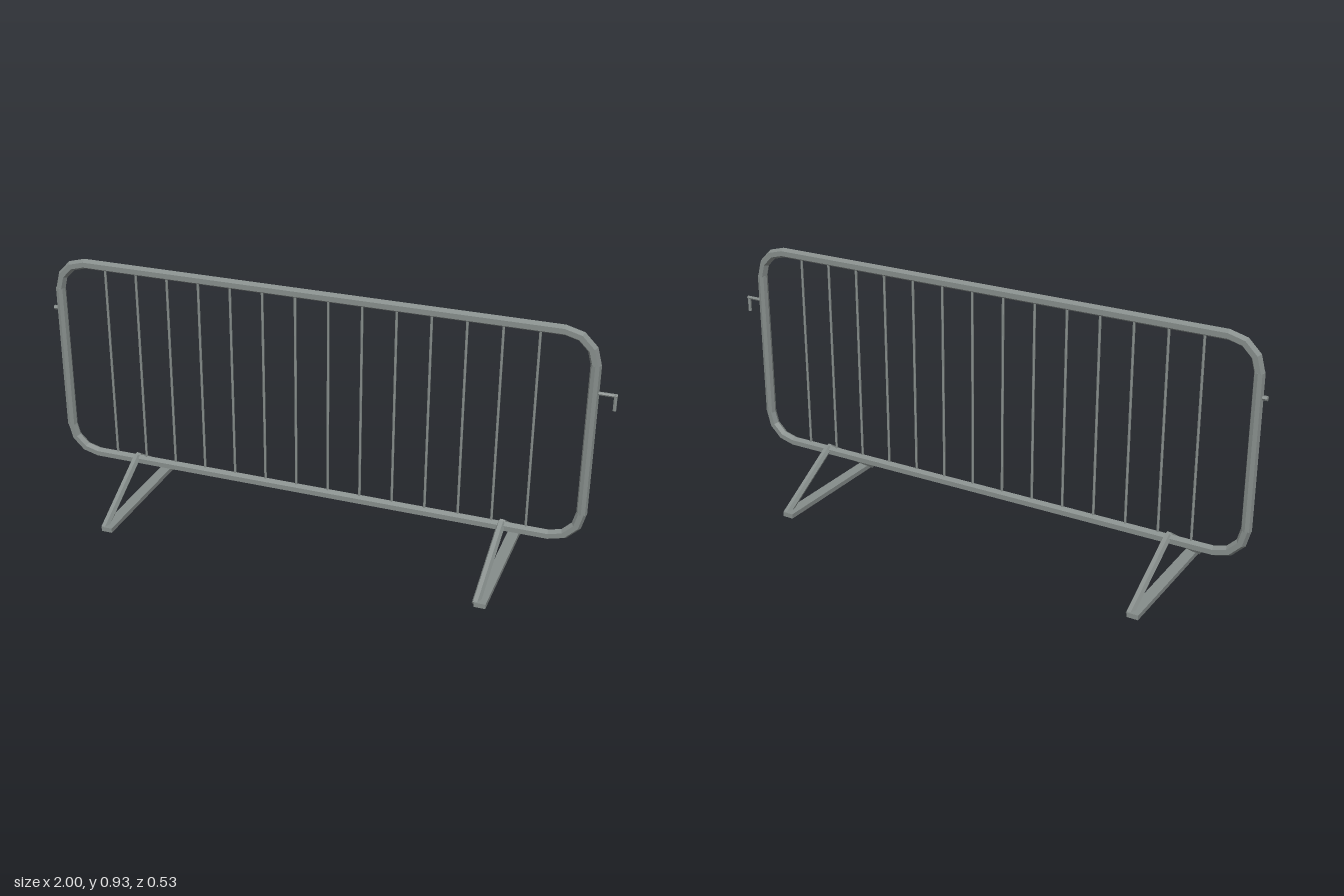
import * as THREE from 'three';

const steel = new THREE.MeshStandardMaterial({ color: 0x858c8a, flatShading: true });
steel.name = 'galvanisedSteel';

// Frame centre lines and tube size
const LEFT = -0.968, RIGHT = 0.924, BOTTOM = 0.173, TOP = 0.912;
const CORNER = 0.104, TUBE = 0.018;

function add(parent, geometry, name) {
  const mesh = new THREE.Mesh(geometry, steel);
  mesh.name = name;
  parent.add(mesh);
  return mesh;
}

// Straight faceted rod between two points
function rod(parent, a, b, radius, sides, name, twist = 0) {
  const from = new THREE.Vector3(...a), to = new THREE.Vector3(...b);
  const dir = to.clone().sub(from);
  const geometry = new THREE.CylinderGeometry(radius, radius, dir.length(), sides);
  geometry.rotateY(twist);
  const mesh = add(parent, geometry, name);
  mesh.position.copy(from).add(to).multiplyScalar(0.5);
  mesh.quaternion.setFromUnitVectors(new THREE.Vector3(0, 1, 0), dir.normalize());
  return mesh;
}

// Horizontal rail with both bent corners: hexagonal rings along a half loop
function bentRail(startAngle) {
  const sides = 6, steps = 3, positions = [], index = [];
  let rings = 0;
  for (let corner = 0; corner < 2; corner++) {
    for (let s = 0; s <= steps; s++) {
      const angle = startAngle + (corner + s / steps) * Math.PI / 2;
      const mid = startAngle + (corner + 0.5) * Math.PI / 2;
      const cx = Math.cos(mid) > 0 ? RIGHT - CORNER : LEFT + CORNER;
      const cy = Math.sin(mid) > 0 ? TOP - CORNER : BOTTOM + CORNER;
      for (let j = 0; j < sides; j++) {
        const a = j / sides * Math.PI * 2;
        const r = CORNER + TUBE * Math.cos(a);
        positions.push(cx + r * Math.cos(angle), cy + r * Math.sin(angle), TUBE * Math.sin(a));
      }
      rings++;
    }
  }
  for (let i = 0; i < rings - 1; i++) {
    for (let j = 0; j < sides; j++) {
      const k = (j + 1) % sides;
      const a = i * sides + j, b = i * sides + k, c = b + sides, d = a + sides;
      index.push(a, d, c, a, c, b);
    }
  }
  const geometry = new THREE.BufferGeometry();
  geometry.setAttribute('position', new THREE.Float32BufferAttribute(positions, 3));
  geometry.setIndex(index);
  geometry.computeVertexNormals();
  return geometry;
}

// Triangular foot: flat base bar and two slightly skewed braces
function foot(x) {
  const group = new THREE.Group();
  group.name = 'foot';
  add(group, new THREE.BoxGeometry(0.04, 0.017, 0.526), 'footBase').position.set(0, 0.0165, 0);
  for (const side of [1, -1]) {
    rod(group, [0, 0.184, 0], [-0.015 * side, 0.0135, 0.251 * side], 0.0145, 6, 'footBrace', Math.PI / 6);
  }
  group.position.x = x;
  return group;
}

export function createModel() {
  const model = new THREE.Group();
  model.name = 'crowdBarrier';

  // Outer frame
  const frame = new THREE.Group();
  frame.name = 'frame';
  add(frame, bentRail(0), 'topRail');
  add(frame, bentRail(Math.PI), 'bottomRail');
  for (const x of [LEFT, RIGHT]) {
    rod(frame, [x, BOTTOM + CORNER - 0.003, 0], [x, TOP - CORNER + 0.003, 0], TUBE, 8, 'sidePost');
  }
  model.add(frame);

  // Vertical infill bars
  const bars = new THREE.Group();
  bars.name = 'infillBars';
  for (let i = 0; i < 14; i++) {
    const x = -0.786 + i * 0.1176;
    rod(bars, [x, BOTTOM, 0], [x, TOP, 0], 0.0045, 6, 'infillBar');
  }
  model.add(bars);

  // Coupling hook on one end, short catch on the other
  const hook = new THREE.Group();
  hook.name = 'couplingHook';
  rod(hook, [RIGHT, 0.714, 0], [1, 0.714, 0], 0.006, 6, 'hookArm');
  rod(hook, [0.994, 0.718, 0], [0.994, 0.663, 0], 0.006, 6, 'hookTip');
  model.add(hook);
  rod(model, [LEFT, 0.731, 0], [-1, 0.731, 0], 0.008, 6, 'couplingCatch');

  // Feet
  model.add(foot(-0.706), foot(0.661));
  return model;
}
